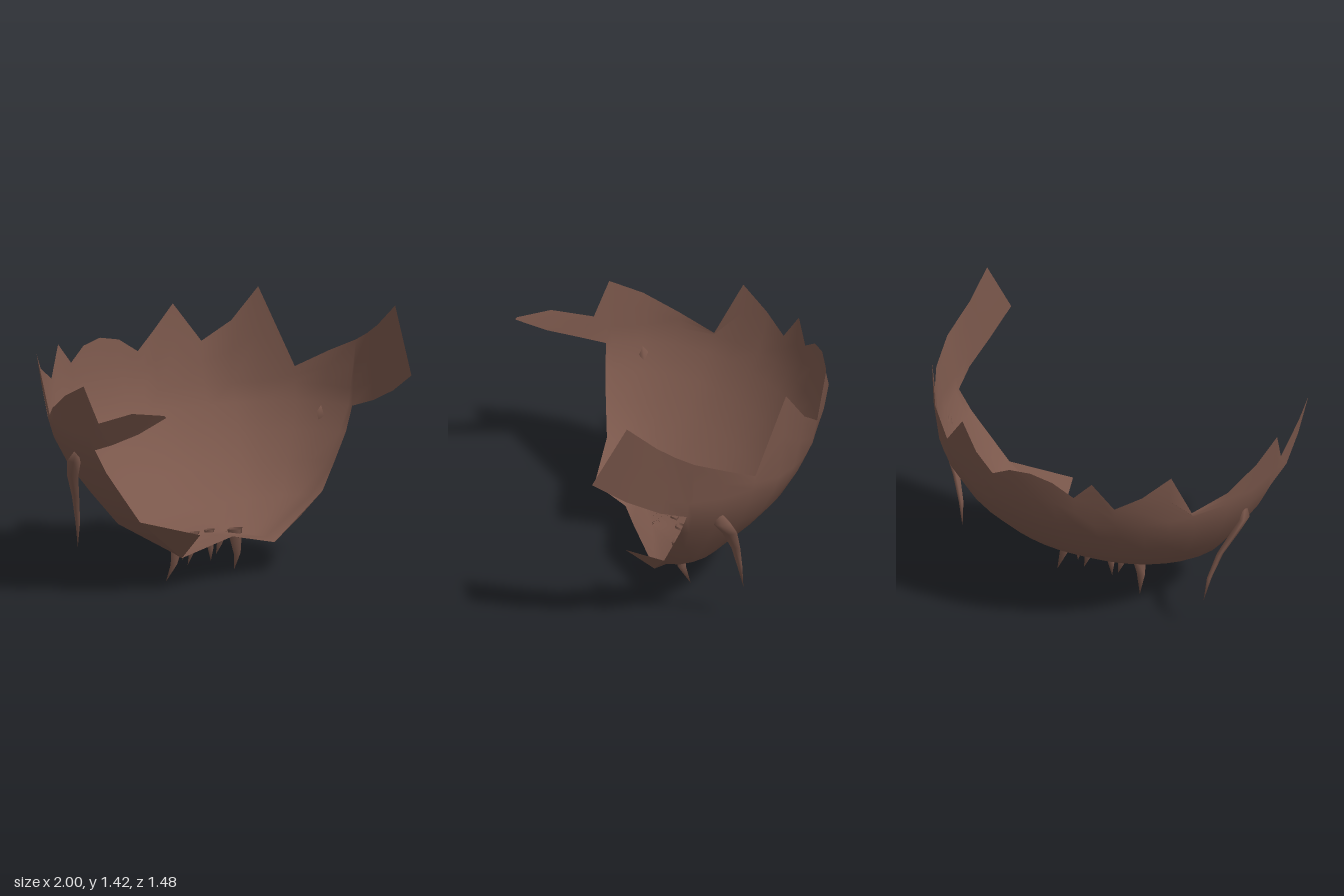
import * as THREE from 'three';
import { mergeGeometries, mergeVertices } from 'three/addons/utils/BufferGeometryUtils.js';

const brown = new THREE.MeshStandardMaterial({ color: 0x7a574b, side: THREE.DoubleSide });
brown.name = 'brown';

// Surface through a grid of points (rows x columns)
function gridGeometry(rows) {
  const cols = rows[0].length, index = [];
  for (let i = 0; i < rows.length - 1; i++) {
    for (let j = 0; j < cols - 1; j++) {
      const a = i * cols + j, b = a + 1, c = a + cols, d = c + 1;
      index.push(a, b, c, b, d, c);
    }
  }
  const geo = new THREE.BufferGeometry();
  geo.setAttribute('position', new THREE.Float32BufferAttribute(rows.flat(2), 3));
  geo.setIndex(index);
  return geo;
}

// One smooth mesh from several adjoining grids
function smoothMesh(name, grids) {
  const geo = mergeVertices(mergeGeometries(grids.map(gridGeometry)));
  geo.computeVertexNormals();
  const mesh = new THREE.Mesh(geo, brown);
  mesh.name = name;
  return mesh;
}

// Tapered curved spike, tip first: stations are [x, y, z, halfWidthX, halfWidthZ]
function spike(name, side, stations, sides) {
  const rows = stations.map(([x, y, z, rx, rz]) => {
    const ring = [];
    for (let k = 0; k <= sides; k++) {
      const t = Math.PI / 2 - ((k % sides) / sides) * Math.PI * 2;
      ring.push([side * x + rx * Math.cos(t), y, z + rz * Math.sin(t)]);
    }
    return ring;
  });
  return smoothMesh(name, [rows]);
}

const mirror = ([x, y, z]) => [-x, y, z];
const mix = (p, q, t) => p.map((v, i) => v + (q[i] - v) * t);

// Bowl levels: side half-width and height, back depth and height
const MID_Z = 0.2;
const LEVELS = [
  [0, 0.245, 0, 0.24], [0.34, 0.19, 0.15, 0.235], [0.66, 0.37, 0.38, 0.315],
  [0.78, 0.54, 0.58, 0.465], [0.88, 0.69, 0.72, 0.61], [0.945, 0.83, 0.82, 0.77],
  [0.959, 0.92, 0.875, 0.88],
];
// Fractions up the arm root at which the upper levels meet it
const ARM_STEPS = [0, 0.257, 0.629, 1];
const ARM_LOW = [0.945, 0.83, 0.23], ARM_HIGH = [1, 1.18, 0.2];
// Front edge of each level
const FRONT = [
  [0, 0.25, 0.3], [0.34, 0.17, 0.265], [0.67, 0.41, 0.29],
  [0.78, 0.56, 0.27], [0.88, 0.7, 0.25],
  ...ARM_STEPS.map((t) => mix(ARM_LOW, ARM_HIGH, t)),
];
// Jagged rim, from the left side round the back to the right side
const RIM = [
  ARM_HIGH, [0.97, 1.1, 0.02], [0.89, 1.0, -0.16], [0.8, 1.42, -0.35],
  [0.715, 1.23, -0.47], [0.59, 1.12, -0.57], [0.455, 1.33, -0.65], [0.35, 1.19, -0.69],
  [0.245, 1.09, -0.7], [0.13, 1.165, -0.725], [0, 1.19, -0.735], [-0.13, 1.165, -0.725],
  [-0.245, 1.09, -0.7], [-0.35, 1.205, -0.69], [-0.455, 1.04, -0.63], [-0.59, 1.12, -0.57],
  [-0.715, 1.23, -0.47], [-0.76, 0.925, -0.32], [-0.89, 1.0, -0.16], [-0.97, 1.1, 0.02],
  [-1, 1.18, 0.2],
];

function bowlGrid() {
  const angles = RIM.map(([x, , z]) => Math.atan2((MID_Z - z) / 0.93, x));
  const rows = LEVELS.map(([a, ya, b, yb]) => angles.map((t) => {
    const s = Math.sin(t);
    return [a * Math.cos(t), ya + (yb - ya) * s * s, MID_Z - b * s];
  }));
  // slightly bulged level halfway to the rim
  const top = rows[rows.length - 1];
  rows.push(RIM.map((p, j) => {
    const [x, y, z] = mix(top[j], p, 0.5);
    return [x, y, z - 0.01 * Math.sin(angles[j])];
  }), RIM);
  return rows.map((row, i) => [FRONT[i], ...row, mirror(FRONT[i])]);
}

// Side arms reaching forward: a broad one on the left and a broken one on the right
function armGrid(top) {
  const bottom = [[0.9, 1.07, 0.74], [0.935, 0.96, 0.56], [0.96, 0.88, 0.38], ARM_LOW];
  return ARM_STEPS.map((t) => bottom.map((p, j) => mix(p, top[j], t)));
}
const BROAD_TOP = [[0.95, 1.42, 0.56], [0.97, 1.29, 0.4], [0.988, 1.23, 0.3], ARM_HIGH];
const BROKEN_TOP = [[0.905, 1.08, 0.73], [0.955, 1.07, 0.53], [0.975, 0.98, 0.27], ARM_HIGH];

// Triangular lip at the front of the bowl
function buildLip(side) {
  const p = [FRONT[1], FRONT[2], [0.36, 0.32, 0.43]];
  const pts = side > 0 ? p : [p[0], p[2], p[1]].map(mirror);
  const geo = new THREE.BufferGeometry();
  geo.setAttribute('position', new THREE.Float32BufferAttribute(pts.flat(), 3));
  geo.computeVertexNormals();
  const mesh = new THREE.Mesh(geo, brown);
  mesh.name = side > 0 ? 'leftLip' : 'rightLip';
  return mesh;
}

// Long curved tusk on the flank
const TUSK = [
  [0.73, 0.225, -0.132, 0, 0], [0.752, 0.37, -0.108, 0.013, 0.014],
  [0.798, 0.52, -0.075, 0.017, 0.026], [0.862, 0.65, -0.03, 0.022, 0.042],
  [0.9, 0.735, 0.02, 0.022, 0.05], [0.895, 0.815, 0.04, 0, 0],
];
// Three teeth under the bowl
const TEETH = [
  [[0.25, 0, 0.045, 0, 0], [0.232, 0.1, 0.09, 0.025, 0.022], [0.205, 0.24, 0.1, 0.055, 0.04]],
  [[0.122, 0.1, 0.04, 0, 0], [0.13, 0.16, 0.06, 0.02, 0.018], [0.14, 0.225, 0.075, 0.035, 0.028]],
  [[0.085, 0.07, 0.04, 0, 0], [0.07, 0.14, 0.055, 0.02, 0.016], [0.054, 0.248, 0.06, 0.038, 0.026]],
];

export function createModel() {
  const model = new THREE.Group();
  model.name = 'brokenShell';
  const rightArm = armGrid(BROKEN_TOP).map((row) => row.map(mirror).reverse());
  model.add(smoothMesh('shellWithArms', [bowlGrid(), armGrid(BROAD_TOP), rightArm]));

  for (const side of [1, -1]) {
    const label = side > 0 ? 'left' : 'right';
    model.add(buildLip(side));
    model.add(spike(label + 'Tusk', side, TUSK, 5));
    TEETH.forEach((t, i) => model.add(spike(label + 'Tooth' + (i + 1), side, t, 4)));
  }
  return model;
}
